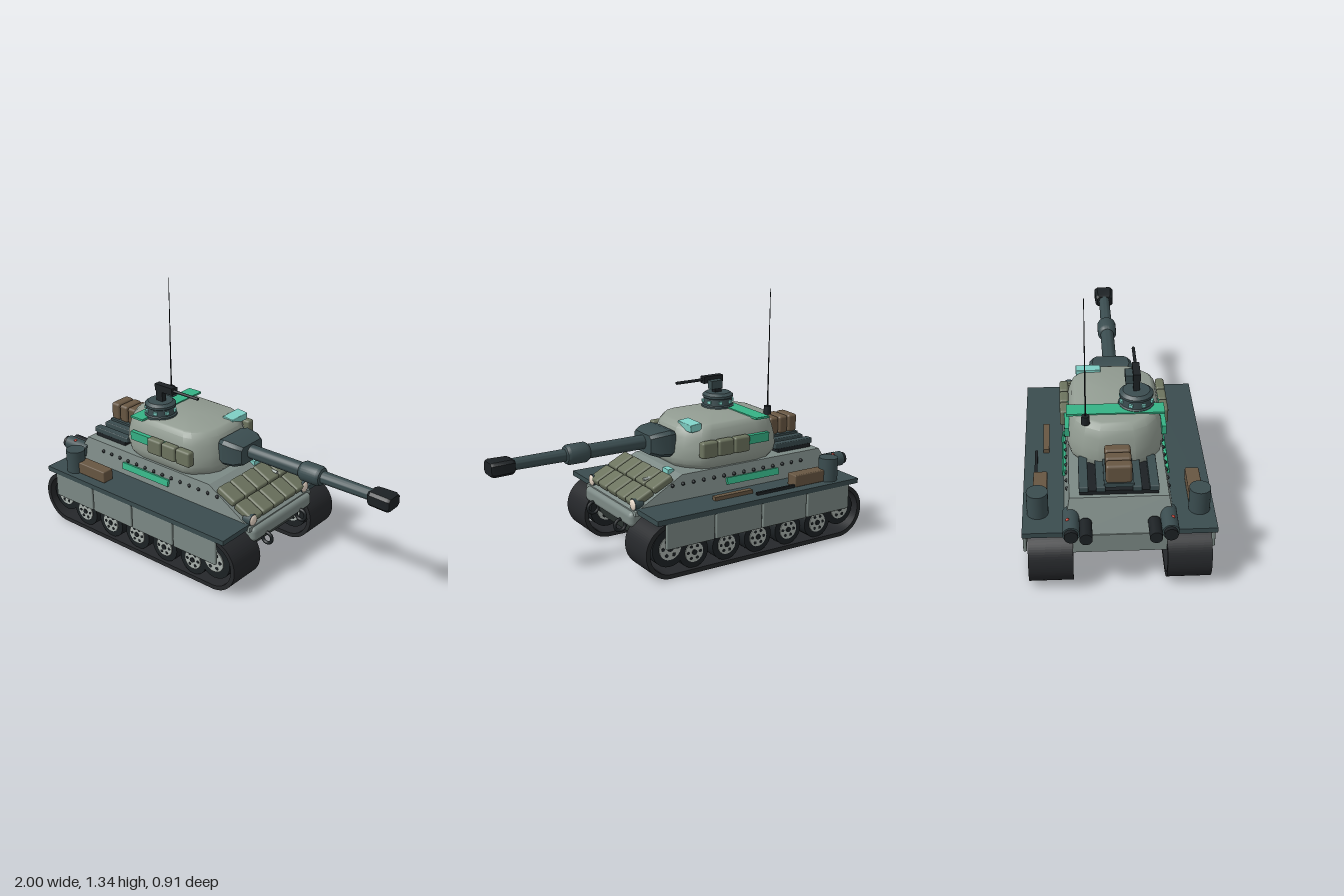
import * as THREE from 'three';
import { toCreasedNormals } from 'three/addons/utils/BufferGeometryUtils.js';
import { RoundedBoxGeometry } from 'three/addons/geometries/RoundedBoxGeometry.js';

const mat = (color, extra = {}) => new THREE.MeshStandardMaterial({ color, ...extra });
const M = {
  hull: mat(0x7c8985), belly: mat(0x3f4845), turret: mat(0x929c92), dark: mat(0x3a4c4f),
  track: mat(0x25272a), black: mat(0x1c2124), wheel: mat(0xa9b2ad), pouch: mat(0x6c735e),
  brown: mat(0x675642), green: mat(0x35b285), cyan: mat(0x7fd0c6), lamp: mat(0xe6d6c6), red: mat(0xc0392b),
};

export function createModel() {
  const root = new THREE.Group();
  const add = (name, geo, m, x = 0, y = 0, z = 0, parent = root) => {
    const mesh = new THREE.Mesh(geo, m);
    mesh.name = name;
    mesh.position.set(x, y, z);
    parent.add(mesh);
    return mesh;
  };
  // Box given by its min and max on each axis
  const box = (name, m, x0, x1, y0, y1, z0, z1, r = 0) => add(name,
    r ? new RoundedBoxGeometry(x1 - x0, y1 - y0, z1 - z0, 2, r) : new THREE.BoxGeometry(x1 - x0, y1 - y0, z1 - z0),
    m, (x0 + x1) / 2, (y0 + y1) / 2, (z0 + z1) / 2);
  const cylX = (r0, r1, len, n = 24) => new THREE.CylinderGeometry(r1, r0, len, n).rotateZ(-Math.PI / 2);
  const cylZ = (r, len, n = 24) => new THREE.CylinderGeometry(r, r, len, n).rotateX(Math.PI / 2);
  // Side profile extruded across the width
  const slab = (pts, width) => new THREE.ExtrudeGeometry(
    new THREE.Shape(pts.map(p => new THREE.Vector2(...p))), { depth: width, bevelEnabled: false }).translate(0, 0, -width / 2);
  // Closed rings of points stacked upwards, capped at both ends
  const loft = rings => {
    const v = [], n = rings[0].length;
    const mid = ring => ring.reduce((s, p) => s.map((c, k) => c + p[k] / n), [0, 0, 0]);
    const lo = mid(rings[0]), top = rings[rings.length - 1], hi = mid(top);
    for (let i = 0; i < n; i++) {
      const j = (i + 1) % n;
      for (let k = 0; k + 1 < rings.length; k++) {
        const a = rings[k][i], b = rings[k][j], c = rings[k + 1][i], d = rings[k + 1][j];
        v.push(...a, ...c, ...b, ...b, ...c, ...d);
      }
      v.push(...lo, ...rings[0][i], ...rings[0][j], ...hi, ...top[j], ...top[i]);
    }
    const g = new THREE.BufferGeometry();
    g.setAttribute('position', new THREE.Float32BufferAttribute(v, 3));
    g.computeVertexNormals();
    return toCreasedNormals(g, 0.5);
  };

  // Hull: lower tub and upper body with sides leaning inwards
  add('lowerHull', slab([[-0.76, 0.115], [0.26, 0.115], [0.345, 0.24], [0.345, 0.3], [-0.9, 0.3], [-0.87, 0.22]], 0.46), M.belly);
  const upper = slab([[-0.91, 0.29], [0.35, 0.29], [0.345, 0.31], [0.06, 0.45], [-0.82, 0.45]], 2);
  const p = upper.attributes.position;
  for (let i = 0; i < p.count; i++) p.setZ(i, p.getZ(i) * (0.265 - (p.getY(i) - 0.29) * 0.2));
  upper.computeVertexNormals();
  add('upperHull', upper, M.hull);
  box('nose', M.hull, 0.29, 0.37, 0.225, 0.305, -0.25, 0.25, 0.025);
  box('rearPlate', M.hull, -0.91, -0.86, 0.2, 0.3, -0.22, 0.22);

  // Running gear, mirrored on both sides
  const loop = (C, R) => C.absarc(0.24, 0.145, R, -Math.PI / 2, Math.PI / 2).absarc(-0.82, 0.145, R, Math.PI / 2, Math.PI * 1.5).closePath();
  const belt = loop(new THREE.Shape(), 0.145);
  belt.holes.push(loop(new THREE.Path(), 0.122));
  const beltGeo = new THREE.ExtrudeGeometry(belt, { depth: 0.21, bevelEnabled: false, curveSegments: 20 }).translate(0, 0, -0.105);
  const wheel = (name, x, y, z, r) => {
    const g = new THREE.Group();
    g.name = name;
    g.position.set(x, y, z);
    root.add(g);
    add('tyre', cylZ(r, 0.17), M.black, 0, 0, 0, g);
    add('hubDisc', cylZ(r * 0.62, 0.18), M.wheel, 0, 0, 0, g);
    add('hubCap', cylZ(r * 0.17, 0.19, 12), M.black, 0, 0, 0, g);
    for (let i = 0; i < 6; i++) {
      const a = i * Math.PI / 3;
      add('hubHole', cylZ(r * 0.1, 0.184, 8), M.black, Math.cos(a) * r * 0.42, Math.sin(a) * r * 0.42, 0, g);
    }
  };
  for (const s of [1, -1]) {
    // Box whose z range is mirrored by side
    const side = (name, m, x0, x1, y0, y1, z0, z1, r) => box(name, m, x0, x1, y0, y1, Math.min(s * z0, s * z1), Math.max(s * z0, s * z1), r);
    add('track', beltGeo, M.track, 0, 0, s * 0.325);
    for (let i = 0; i < 5; i++) wheel('roadWheel', -0.68 + i * 0.195, 0.105, s * 0.325, 0.084);
    wheel('sprocket', -0.83, 0.155, s * 0.325, 0.09);
    wheel('idler', 0.24, 0.155, s * 0.325, 0.1);

    side('fender', M.dark, -0.915, 0.335, 0.298, 0.325, 0.24, 0.455);
    for (let i = 0; i < 4; i++) side('skirtPanel', M.hull, -0.857 + i * 0.287, -0.577 + i * 0.287, 0.165, 0.302, 0.438, 0.455, 0.006);

    // Fender stowage and rear fittings
    add('canister', new THREE.CylinderGeometry(0.051, 0.051, 0.125, 24), M.dark, -0.765, 0.387, s * 0.383);
    side('woodenBox', M.brown, -0.73, -0.53, 0.325, 0.39, 0.337, 0.405, 0.006);
    add('exhaust', cylX(0.04, 0.04, 0.16), M.dark, -0.9, 0.365, s * 0.228);
    add('exhaustTip', cylX(0.032, 0.032, 0.03), M.black, -0.985, 0.365, s * 0.228);
    add('rearPipe', cylX(0.03, 0.03, 0.12), M.black, -0.94, 0.35, s * 0.16);
    add('tailLight', new THREE.SphereGeometry(0.009, 10, 8), M.red, -0.915, 0.4, s * 0.243);

    // Hull side strip and rivets
    const strip = side('hullStripe', M.green, -0.53, -0.2, 0.358, 0.394, 0.248, 0.262);
    strip.rotation.x = -s * 0.2;
    for (let i = 0; i < 14; i++) add('rivet', new THREE.SphereGeometry(0.01, 8, 6), M.black, -0.69 + i * 0.0625, 0.405, s * 0.243);

    // Nose fittings
    add('headlightHousing', cylX(0.026, 0.032, 0.05), M.dark, 0.315, 0.338, s * 0.222);
    const lens = add('headlightLens', new THREE.SphereGeometry(0.029, 16, 10), M.lamp, 0.338, 0.338, s * 0.222);
    lens.scale.x = 0.4;
    add('towHook', new THREE.TorusGeometry(0.03, 0.009, 8, 20), M.black, 0.372, 0.215, s * 0.147);

    // Turret side stripe and pouches
    side('turretStripe', M.green, -0.47, -0.18, 0.55, 0.598, 0.225, 0.248);
    for (let i = 0; i < 3; i++) side('sidePouch', M.pouch, -0.335 + i * 0.099, -0.24 + i * 0.099, 0.52, 0.606, 0.225, 0.27, 0.012);
  }
  box('toolHandle', M.black, -0.53, -0.29, 0.325, 0.34, -0.402, -0.388);
  box('woodenTool', M.brown, -0.29, -0.06, 0.325, 0.345, -0.36, -0.33);

  // Sloped front armour bags, two rows of five
  const bags = new THREE.Group();
  bags.name = 'frontBags';
  bags.position.set(0.225, 0.382, 0);
  bags.rotation.z = -0.45;
  root.add(bags);
  for (let row = 0; row < 2; row++) for (let i = 0; i < 5; i++)
    add('frontBag', new RoundedBoxGeometry(0.122, 0.04, 0.093, 2, 0.012), M.pouch, -0.063 + row * 0.126, 0.01, (i - 2) * 0.097, bags);
  box('driverPeriscope', M.cyan, 0.062, 0.096, 0.435, 0.46, -0.157, -0.1);
  add('hullGun', cylX(0.01, 0.008, 0.07, 10), M.wheel, 0.19, 0.425, -0.13);

  // Engine deck slats and rear stowage
  for (const z of [-0.165, -0.085, 0.085, 0.165]) box('deckSlat', M.dark, -0.81, -0.56, 0.47, 0.5, z - 0.022, z + 0.022, 0.005);
  box('deckGrille', M.black, -0.8, -0.58, 0.448, 0.472, -0.185, 0.185);
  box('stowageShelf', M.dark, -0.8, -0.56, 0.49, 0.512, -0.07, 0.07);
  for (let i = 0; i < 3; i++) box('stowageRoll', M.brown, -0.8 + i * 0.062, -0.742 + i * 0.062, 0.51, 0.608, -0.062, 0.062, 0.014);

  // Turret shell from scaled plan outlines
  const half = [[0.035, 0.09], [0.005, 0.15], [-0.06, 0.22], [-0.11, 0.237], [-0.42, 0.237], [-0.5, 0.218], [-0.57, 0.165], [-0.61, 0.09]];
  const plan = [...half, ...half.map(([x, z]) => [x, -z]).reverse()];
  const levels = [[0.45, 0.93], [0.47, 0.98], [0.5, 1], [0.555, 0.985], [0.61, 0.94], [0.65, 0.89], [0.672, 0.82], [0.677, 0.78]];
  add('turretShell', loft(levels.map(([y, k]) => plan.map(([x, z]) => [-0.287 + (x + 0.287) * k, y, z * k]))), M.turret);
  box('roofStripe', M.green, -0.475, -0.39, 0.672, 0.683, -0.238, 0.238);
  const sight = box('roofSight', M.cyan, -0.088, -0.022, 0.645, 0.685, -0.185, -0.058, 0.004);
  sight.rotation.z = -0.1;

  // Gun mantlet: rectangular sections with cut corners, stacked along the gun
  const section = (x, h, w, c) => [[h, w - c], [h - c, w], [c - h, w], [-h, w - c], [-h, c - w], [c - h, -w], [h - c, -w], [h, c - w]]
    .map(([a, b]) => [a, x, b]);
  const mantlet = loft([section(0, 0.06, 0.1, 0.015), section(0.035, 0.07, 0.115, 0.018), section(0.1, 0.064, 0.108, 0.018), section(0.14, 0.05, 0.085, 0.015)]);
  add('mantlet', mantlet.rotateZ(-Math.PI / 2), M.dark, 0.015, 0.576, 0);

  // Gun barrel turned as one profile, with muzzle block
  const gun = [[0, 0.12], [0.037, 0.12], [0.037, 0.47], [0.044, 0.475], [0.052, 0.49], [0.052, 0.58], [0.044, 0.595], [0.032, 0.6], [0.03, 0.9], [0, 0.9]];
  const gunGeo = toCreasedNormals(new THREE.LatheGeometry(gun.map(q => new THREE.Vector2(...q)), 28).rotateZ(-Math.PI / 2), 0.5);
  add('gunBarrel', gunGeo, M.dark, 0, 0.578, 0);
  const muzzle = loft([section(0, 0.03, 0.04, 0.012), section(0.015, 0.037, 0.05, 0.014), section(0.11, 0.037, 0.055, 0.014), section(0.125, 0.032, 0.048, 0.012)]);
  add('muzzle', muzzle.rotateZ(-Math.PI / 2), M.black, 0.875, 0.576, 0);

  // Commander cupola with vision blocks
  const cx = -0.38, cz = 0.105;
  const cup = [[0, 0.67], [0.09, 0.67], [0.088, 0.685], [0.08, 0.69], [0.076, 0.725], [0.083, 0.73], [0.083, 0.742], [0.066, 0.755], [0, 0.757]];
  add('cupola', toCreasedNormals(new THREE.LatheGeometry(cup.map(q => new THREE.Vector2(...q)), 28), 0.5), M.dark, cx, 0, cz);
  for (let i = 0; i < 8; i++) {
    const a = (i + 0.5) * Math.PI / 4;
    const block = add('visionBlock', new THREE.BoxGeometry(0.016, 0.016, 0.02), M.cyan, cx + Math.cos(a) * 0.079, 0.708, cz + Math.sin(a) * 0.079);
    block.rotation.y = -a;
  }

  // Roof machine gun
  box('gunMount', M.black, -0.395, -0.352, 0.75, 0.82, 0.09, 0.12);
  box('roofGunBody', M.black, -0.4, -0.28, 0.812, 0.85, 0.088, 0.124);
  box('ammoBox', M.dark, -0.375, -0.305, 0.785, 0.83, 0.052, 0.09);
  add('roofGunBarrel', cylX(0.008, 0.008, 0.17, 10), M.black, -0.2, 0.832, 0.106);

  // Antenna
  add('antennaBase', new THREE.CylinderGeometry(0.019, 0.021, 0.045, 16), M.black, -0.53, 0.688, -0.147);
  add('antennaRod', new THREE.CylinderGeometry(0.0015, 0.004, 0.635, 8), M.black, -0.53, 1.0175, -0.147);

  return root;
}
